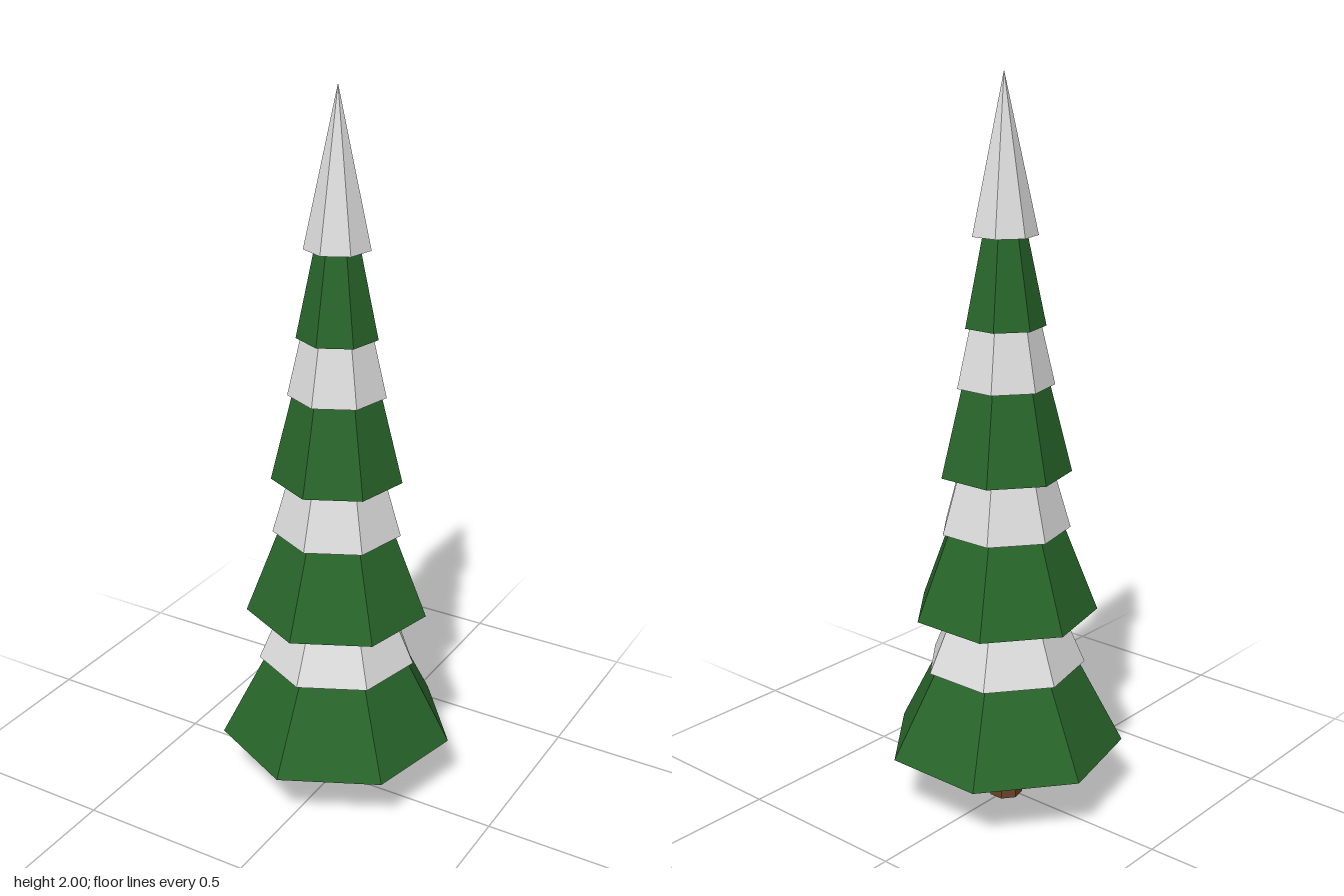
import * as THREE from 'three';

const SIDES = 7;
const CENTRE_Z = -0.017;

export function createModel() {
  const tree = new THREE.Group();
  tree.name = 'snowyFirTree';

  const flat = (name, color, side = THREE.FrontSide) => {
    const m = new THREE.MeshStandardMaterial({ color, flatShading: true, side });
    m.name = name;
    return m;
  };
  const green = flat('needleGreen', 0x28652a, THREE.DoubleSide);
  const snow = flat('snowWhite', 0xdedede, THREE.DoubleSide);
  const brown = flat('barkBrown', 0x6b4429);

  // Open seven-sided cone from its rim height to its tip
  const addCone = (name, material, radius, rimY, tipY) => {
    const geometry = new THREE.ConeGeometry(radius, tipY - rimY, SIDES, 1, true);
    const mesh = new THREE.Mesh(geometry, material);
    mesh.name = name;
    mesh.position.set(0, (rimY + tipY) / 2, CENTRE_Z);
    tree.add(mesh);
  };

  // Branch tiers: [rim radius, rim height, tip height]
  const branches = [
    [0.33, 0.17, 0.8],
    [0.255, 0.565, 1.22],
    [0.181, 0.96, 1.68],
    [0.11, 1.355, 1.88],
  ];
  // Snow caps lying on each tier
  const caps = [
    [0.222, 0.408, 0.93],
    [0.179, 0.802, 1.42],
    [0.134, 1.198, 1.78],
    [0.089, 1.59, 2],
  ];
  branches.forEach((tier, i) => addCone(`branchTier${i + 1}`, green, ...tier));
  caps.forEach((cap, i) => addCone(`snowCap${i + 1}`, snow, ...cap));

  // Trunk runs up inside the lowest tier
  const trunk = new THREE.Mesh(new THREE.CylinderGeometry(0.047, 0.047, 0.6, SIDES), brown);
  trunk.name = 'trunk';
  trunk.position.set(0, 0.3, -0.013);
  tree.add(trunk);

  return tree;
}
